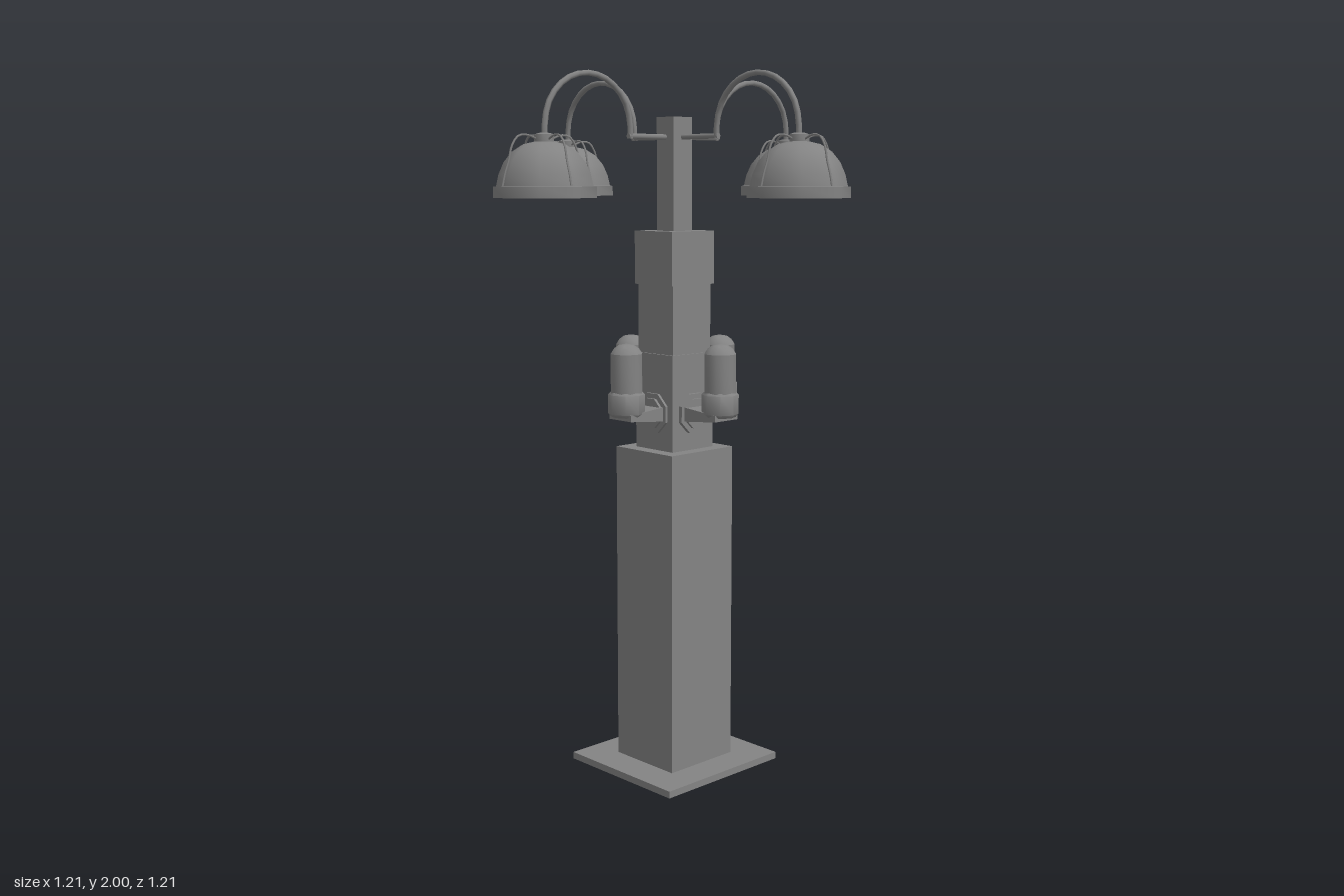
import * as THREE from 'three';
import { toCreasedNormals } from 'three/addons/utils/BufferGeometryUtils.js';

const grey = new THREE.MeshStandardMaterial({ color: 0x838383 });
const greyOpen = new THREE.MeshStandardMaterial({ color: 0x838383, side: THREE.DoubleSide });

function add(parent, name, geometry, material = grey) {
  const mesh = new THREE.Mesh(geometry, material);
  mesh.name = name;
  parent.add(mesh);
  return mesh;
}

// Box standing between two heights
function block(w, d, y0, y1) {
  return new THREE.BoxGeometry(w, y1 - y0, d).translate(0, (y0 + y1) / 2, 0);
}

function turned(points, sides, crease = 0.8) {
  const profile = points.map(([r, y]) => new THREE.Vector2(r, y));
  return toCreasedNormals(new THREE.LatheGeometry(profile, sides), crease);
}

function pipe(points, radius, segments, sides) {
  const curve = new THREE.CatmullRomCurve3(points.map(([x, y]) => new THREE.Vector3(x, y, 0)), false, 'centripetal');
  return new THREE.TubeGeometry(curve, segments, radius, sides);
}

function rectangle(path, w, d) {
  path.moveTo(-w / 2, -d / 2);
  path.lineTo(w / 2, -d / 2);
  path.lineTo(w / 2, d / 2);
  path.lineTo(-w / 2, d / 2);
  path.closePath();
  return path;
}

// Octagonal shade with rim, cap and wire cage, centred on its own axis
function createShade() {
  const shade = new THREE.Group();
  shade.name = 'hangingLamp';
  add(shade, 'shadeRim', turned([
    [0.136, 1.665], [0.136, 1.694], [0.125, 1.695],
  ], 8), greyOpen);
  add(shade, 'shadeDome', turned([
    [0.128, 1.694], [0.121, 1.725], [0.107, 1.757], [0.085, 1.784], [0.055, 1.803], [0.02, 1.811],
  ], 8), greyOpen);
  add(shade, 'shadeCap', turned([[0.026, 1.805], [0.026, 1.828], [0.014, 1.832], [0, 1.832]], 8));
  for (let i = 0; i < 4; i++) {
    const wire = add(shade, 'cageWire', pipe([
      [0.02, 1.815], [0.05, 1.826], [0.078, 1.823], [0.098, 1.797],
      [0.107, 1.762], [0.12, 1.725], [0.127, 1.696],
    ], 0.003, 16, 5));
    wire.rotation.y = i * Math.PI / 2 - 0.12;
  }
  return shade;
}

// Everything carried on one face of the column, facing +x
function createSide() {
  const side = new THREE.Group();
  side.name = 'lampSide';

  // Upper arm: straight stub meeting a half circle at a sharp corner
  const stub = new THREE.CylinderGeometry(0.008, 0.008, 0.174, 6);
  add(side, 'armStub', stub.rotateZ(Math.PI / 2).translate(0.087, 1.83, 0));
  const arc = [[0.166, 1.823]];
  for (let i = 0; i <= 8; i++) {
    const a = Math.PI * (1 - i / 8);
    arc.push([0.316 + 0.15 * Math.cos(a), 1.85 + 0.142 * Math.sin(a)]);
  }
  arc.push([0.466, 1.82]);
  add(side, 'curvedArm', pipe(arc, 0.008, 16, 6));

  const lamp = createShade();
  lamp.position.x = 0.468;
  side.add(lamp);

  // Octagonal wall plates
  [[0.06, 0.07, 0.088], [0.045, 0.086, 0.096]].forEach(([r, x0, x1]) => {
    const plate = new THREE.CylinderGeometry(r, r, x1 - x0, 8).toNonIndexed();
    plate.rotateY(Math.PI / 8).rotateZ(Math.PI / 2).translate((x0 + x1) / 2, 1.057, 0);
    plate.computeVertexNormals();
    add(side, 'wallPlate', plate);
  });

  // Broad bracket under the lantern
  const bracket = new THREE.Shape();
  bracket.moveTo(0.08, 1.036);
  bracket.lineTo(0.21, 1.048);
  bracket.lineTo(0.21, 1.066);
  bracket.lineTo(0.08, 1.078);
  bracket.closePath();
  const bracketGeometry = new THREE.ExtrudeGeometry(bracket, { depth: 0.09, bevelEnabled: false });
  add(side, 'bracket', bracketGeometry.translate(0, 0, -0.045));

  // Upright lantern
  const lantern = new THREE.Group();
  lantern.name = 'lantern';
  lantern.position.x = 0.185;
  add(lantern, 'lanternCup', turned([
    [0, 1.056], [0.044, 1.057], [0.052, 1.066], [0.052, 1.12], [0.045, 1.127], [0, 1.127],
  ], 8));
  add(lantern, 'lanternGlass', turned([
    [0.045, 1.12], [0.045, 1.234], [0.036, 1.248], [0.022, 1.258], [0, 1.262],
  ], 12, 0.55));
  side.add(lantern);
  return side;
}

export function createModel() {
  const model = new THREE.Group();
  model.name = 'lampPost';

  // Flat base with a square opening beneath the hollow pedestal
  const baseShape = rectangle(new THREE.Shape(), 0.438, 0.418);
  baseShape.holes.push(rectangle(new THREE.Path(), 0.238, 0.228));
  const base = new THREE.ExtrudeGeometry(baseShape, { depth: 0.02, bevelEnabled: false });
  add(model, 'basePlate', base.rotateX(-Math.PI / 2));

  // Pedestal, open at the bottom
  const pedestal = block(0.242, 0.232, 0.005, 0.95);
  pedestal.setIndex(Array.from(pedestal.index.array).filter((_, i) => i < 18 || i >= 24));
  pedestal.clearGroups();
  add(model, 'pedestal', pedestal, greyOpen);

  // Stepped column
  add(model, 'lowerColumn', block(0.16, 0.152, 0.95, 1.225));
  add(model, 'middleColumn', block(0.148, 0.142, 1.225, 1.42));
  add(model, 'columnCollar', block(0.164, 0.154, 1.42, 1.57));
  add(model, 'topColumn', block(0.072, 0.068, 1.57, 1.885));

  for (let i = 0; i < 4; i++) {
    const side = createSide();
    side.rotation.y = i * Math.PI / 2;
    model.add(side);
  }
  return model;
}
